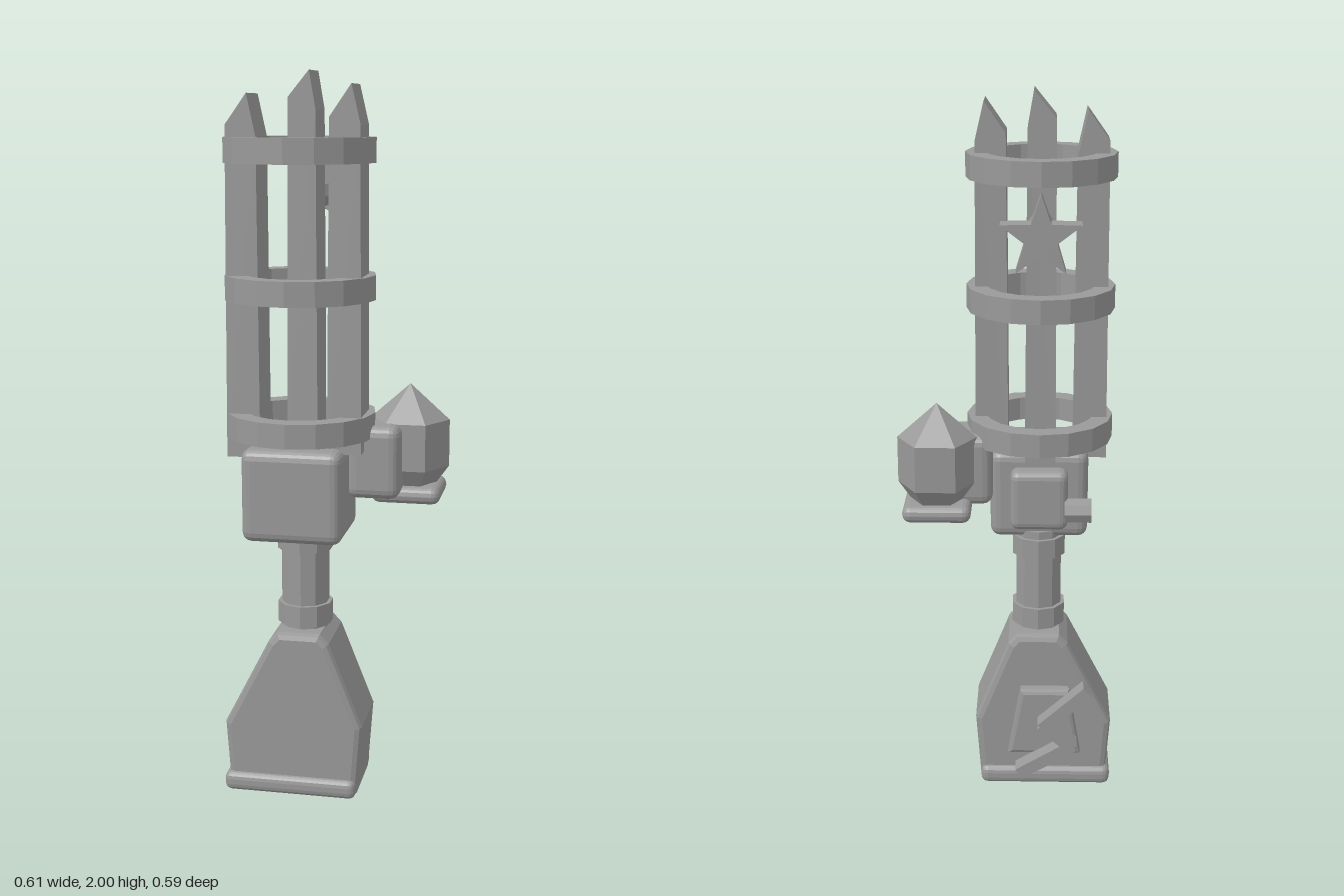
import * as THREE from 'three';
import { RoundedBoxGeometry } from 'three/addons/geometries/RoundedBoxGeometry.js';

const grey = new THREE.MeshStandardMaterial({ color: 0x999999, flatShading: true });
grey.name = 'plain grey';

const AXIS_X = -0.09; // centre line of the cage and grip

export function createModel() {
  const model = new THREE.Group();
  model.name = 'cagedSceptre';

  const add = (name, geometry, x = 0, y = 0, z = 0) => {
    const mesh = new THREE.Mesh(geometry, grey);
    mesh.name = name;
    mesh.position.set(x, y, z);
    model.add(mesh);
    return mesh;
  };

  // Rounded block given by its limits on each axis
  const block = (name, [x0, x1], [y0, y1], [z0, z1], radius) =>
    add(name, new RoundedBoxGeometry(x1 - x0, y1 - y0, z1 - z0, 2, radius),
      (x0 + x1) / 2, (y0 + y1) / 2, (z0 + z1) / 2);

  // Flat outline extruded between two z values, optionally bevelled inside those limits
  const slab = (name, points, z0, z1, bevel = 0) => {
    const shape = new THREE.Shape(points.map(([x, y]) => new THREE.Vector2(x, y)));
    const geometry = new THREE.ExtrudeGeometry(shape, {
      depth: z1 - z0 - 2 * bevel, bevelEnabled: bevel > 0,
      bevelSize: bevel, bevelOffset: -bevel, bevelThickness: bevel, bevelSegments: 2,
    });
    return add(name, geometry, 0, 0, z0 + bevel);
  };

  // Turned profile with few sides
  const turned = (points, sides) =>
    new THREE.LatheGeometry(points.map(([r, y]) => new THREE.Vector2(r, y)), sides);

  // Butt: tapered body on a rounded lip
  slab('butt', [
    [-0.29, 0.01], [0.075, 0.01], [0.09, 0.21], [-0.005, 0.45], [-0.03, 0.477],
    [-0.15, 0.477], [-0.175, 0.45], [-0.303, 0.2],
  ], -0.066, 0.158, 0.018);
  block('buttLip', [-0.303, 0.075], [0, 0.055], [-0.082, 0.175], 0.02);

  // Emblem on the back of the butt: a trapezoid plate and a zigzag
  slab('buttPlate', [[-0.215, 0.115], [-0.005, 0.115], [-0.04, 0.32], [-0.18, 0.32]], -0.102, -0.055, 0.012);
  const zigzag = [[-0.225, 0.335], [-0.11, 0.23], [-0.185, 0.165], [-0.045, 0.08]];
  for (let i = 0; i < 3; i++) {
    const [x0, y0] = zigzag[i], [x1, y1] = zigzag[i + 1];
    const bar = add('zigzagBar', new THREE.BoxGeometry(Math.hypot(x1 - x0, y1 - y0) + 0.02, 0.036, 0.05),
      (x0 + x1) / 2, (y0 + y1) / 2, -0.125);
    bar.rotation.z = Math.atan2(y1 - y0, x1 - x0);
  }

  // Grip with a collar at each end
  const band = (name, radius, y0, y1) =>
    add(name, new THREE.CylinderGeometry(radius, radius, y1 - y0, 10), AXIS_X, (y0 + y1) / 2, 0.045);
  band('grip', 0.067, 0.46, 0.78);
  band('lowerCollar', 0.078, 0.485, 0.545);
  band('upperCollar', 0.078, 0.7, 0.757);

  // Main housing with a back panel and a side knob
  block('housing', [-0.227, 0.047], [0.76, 1.015], [-0.012, 0.242], 0.028);
  block('backPanel', [-0.17, -0.01], [0.8, 0.972], [-0.062, 0.02], 0.022);
  add('knob', new THREE.CylinderGeometry(0.036, 0.036, 0.075, 8).rotateZ(Math.PI / 2), -0.198, 0.857, -0.045);

  // Side bracket, tray and crystal
  block('sideBracket', [0.04, 0.185], [0.865, 1.067], [-0.04, 0.128], 0.028);
  block('crystalTray', [0.098, 0.288], [0.84, 0.888], [-0.12, 0.067], 0.023);
  add('trayStud', new THREE.ConeGeometry(0.02, 0.02, 6).rotateX(Math.PI), 0.192, 0.836, -0.027);
  add('crystal', turned([[0, 0.87], [0.075, 0.885], [0.11, 0.935], [0.11, 1.065], [0, 1.163]], 6)
    .rotateY(Math.PI / 6), 0.193, 0, -0.027);

  // Three slanted prongs
  const prong = (name, x0, x1, tipX, base, left, tip, right, z0, z1) =>
    slab(name, [[x0 - 0.007, base], [x1 + 0.003, base], [x1, right], [tipX, tip], [x0, left]], z0, z1);
  prong('rightProng', -0.27, -0.188, -0.212, 0.982, 1.86, 1.94, 1.83, 0.05, 0.175);
  prong('backProng', -0.128, -0.053, -0.07, 1.0, 1.93, 2.0, 1.9, -0.056, 0.066);
  prong('leftProng', 0.005, 0.087, 0.063, 1.0, 1.88, 1.963, 1.86, 0.05, 0.175);

  // Rings around the prongs
  for (const y of [1.035, 1.405, 1.763]) {
    add('cageRing', turned([[0.15, 0], [0.204, 0], [0.204, 0.066], [0.15, 0.066], [0.15, 0]], 16), AXIS_X, y, 0.089);
  }

  // Star on a short peg behind the back prong
  add('starPeg', turned([[0, 0], [0.022, 0], [0.035, 0.018], [0.035, 0.167], [0.022, 0.185], [0, 0.185]], 6)
    .rotateY(Math.PI / 6).rotateX(-Math.PI / 2), AXIS_X, 1.666, -0.052);
  const star = [];
  for (let i = 0; i < 10; i++) {
    const r = i % 2 ? 0.043 : 0.107, a = Math.PI / 2 + i * Math.PI / 5;
    star.push([AXIS_X + r * Math.cos(a), 1.668 + r * Math.sin(a)]);
  }
  slab('star', star, -0.296, -0.235);

  return model;
}
